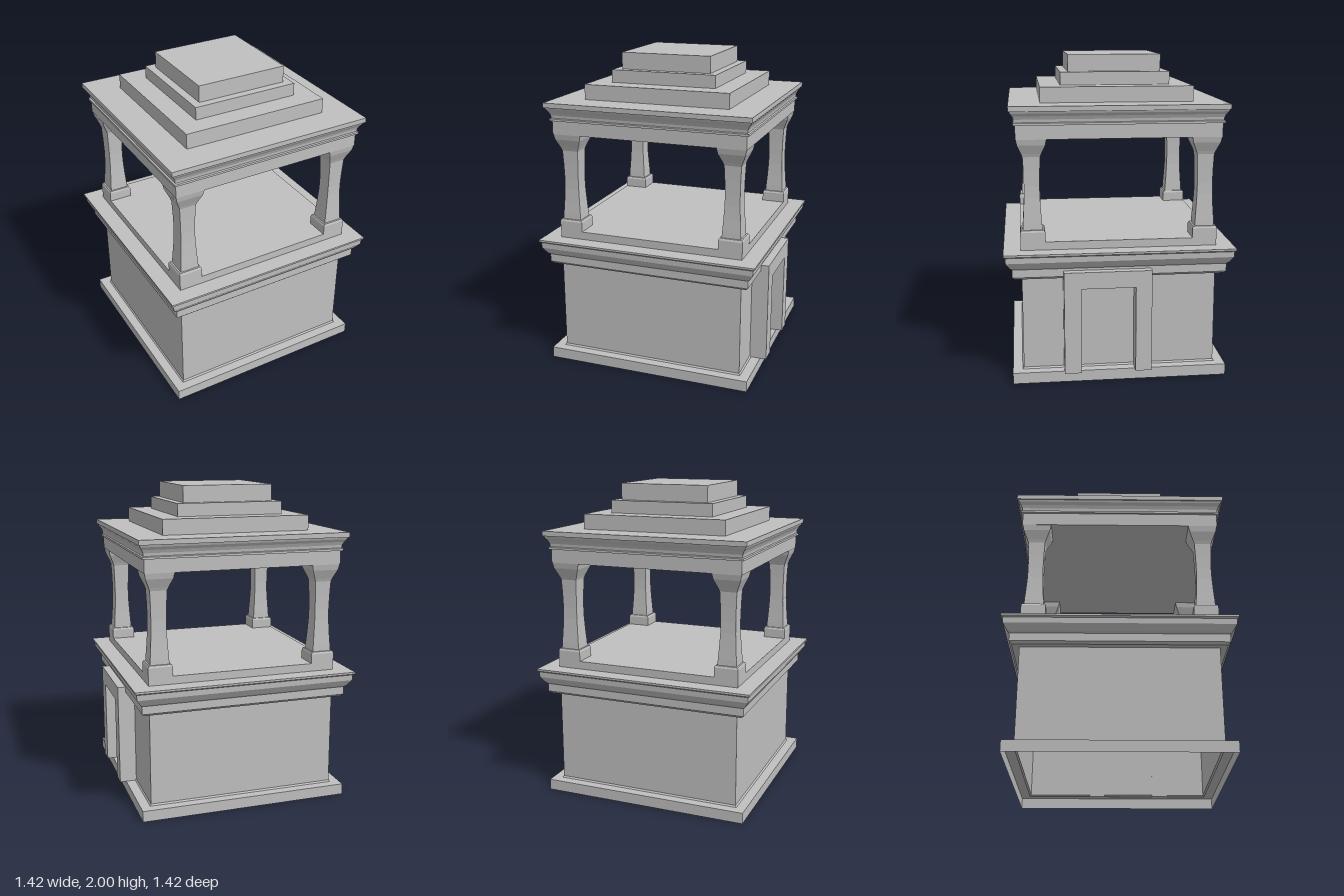
import * as THREE from 'three';

const stone = new THREE.MeshStandardMaterial({ color: 0xc0c0c0, side: THREE.DoubleSide });
stone.name = 'grey stone';

// Square moulding: sweeps a [half width, height] profile around four sides
function squareMoulding(name, profile) {
  const points = profile.map(([half, y]) => new THREE.Vector2(half * Math.SQRT2, y));
  const geometry = new THREE.LatheGeometry(points, 4, Math.PI / 4).toNonIndexed();
  geometry.computeVertexNormals();
  const mesh = new THREE.Mesh(geometry, stone);
  mesh.name = name;
  return mesh;
}

export function createModel() {
  const model = new THREE.Group();
  model.name = 'pavilion';

  // Hollow lower storey, open underneath: plinth, walls, cornice and floor
  model.add(squareMoulding('lowerStorey', [
    [0.67, 0], [0.67, 0.07], [0.61, 0.07], [0.602, 0.08], [0.602, 0.67],
    [0.645, 0.67], [0.66, 0.685], [0.66, 0.735], [0.672, 0.745], [0.685, 0.765],
    [0.698, 0.785], [0.7, 0.82], [0.711, 0.828], [0.711, 0.84],
    [0.605, 0.84], [0.605, 0.89], [0, 0.89],
  ]));

  // Door surround on the left wall
  const surround = new THREE.Shape([
    [-0.35, 0.07], [-0.245, 0.07], [-0.245, 0.615], [0.09, 0.615],
    [0.09, 0.07], [0.19, 0.07], [0.19, 0.72], [-0.35, 0.72],
  ].map(([x, y]) => new THREE.Vector2(x, y)));
  const door = new THREE.Mesh(
    new THREE.ExtrudeGeometry(surround, { depth: 0.11, bevelEnabled: false }), stone);
  door.name = 'doorSurround';
  door.rotation.y = Math.PI / 2;
  door.position.x = 0.6;
  model.add(door);

  // Four corner columns with pedestals and flared capitals
  for (const sx of [-1, 1]) {
    for (const sz of [-1, 1]) {
      const column = new THREE.Group();
      column.name = 'cornerColumn';
      column.add(squareMoulding('pedestal', [
        [0.076, 0.89], [0.076, 0.95], [0.07, 0.962], [0, 0.965],
      ]));
      column.add(squareMoulding('shaft', [
        [0.06, 0.96], [0.058, 1.0], [0.053, 1.07], [0.048, 1.16], [0.047, 1.23],
        [0.049, 1.32], [0.053, 1.41], [0.06, 1.43], [0.084, 1.485], [0.091, 1.52],
      ]));
      column.position.set(sx * 0.53, 0, sz * 0.53);
      model.add(column);
    }
  }

  // Roof: flat ceiling, lintel and moulded eave
  model.add(squareMoulding('roof', [
    [0, 1.52], [0.623, 1.52], [0.623, 1.605], [0.636, 1.605], [0.636, 1.618],
    [0.627, 1.622], [0.629, 1.64], [0.638, 1.66], [0.65, 1.677], [0.655, 1.69],
    [0.662, 1.69], [0.662, 1.72], [0, 1.72],
  ]));

  // Stepped crown
  for (const [half, bottom, top] of [[0.47, 1.72, 1.815], [0.341, 1.815, 1.895], [0.291, 1.895, 2]]) {
    const step = new THREE.Mesh(new THREE.BoxGeometry(half * 2, top - bottom, half * 2), stone);
    step.name = 'roofStep';
    step.position.y = (bottom + top) / 2;
    model.add(step);
  }
  return model;
}
